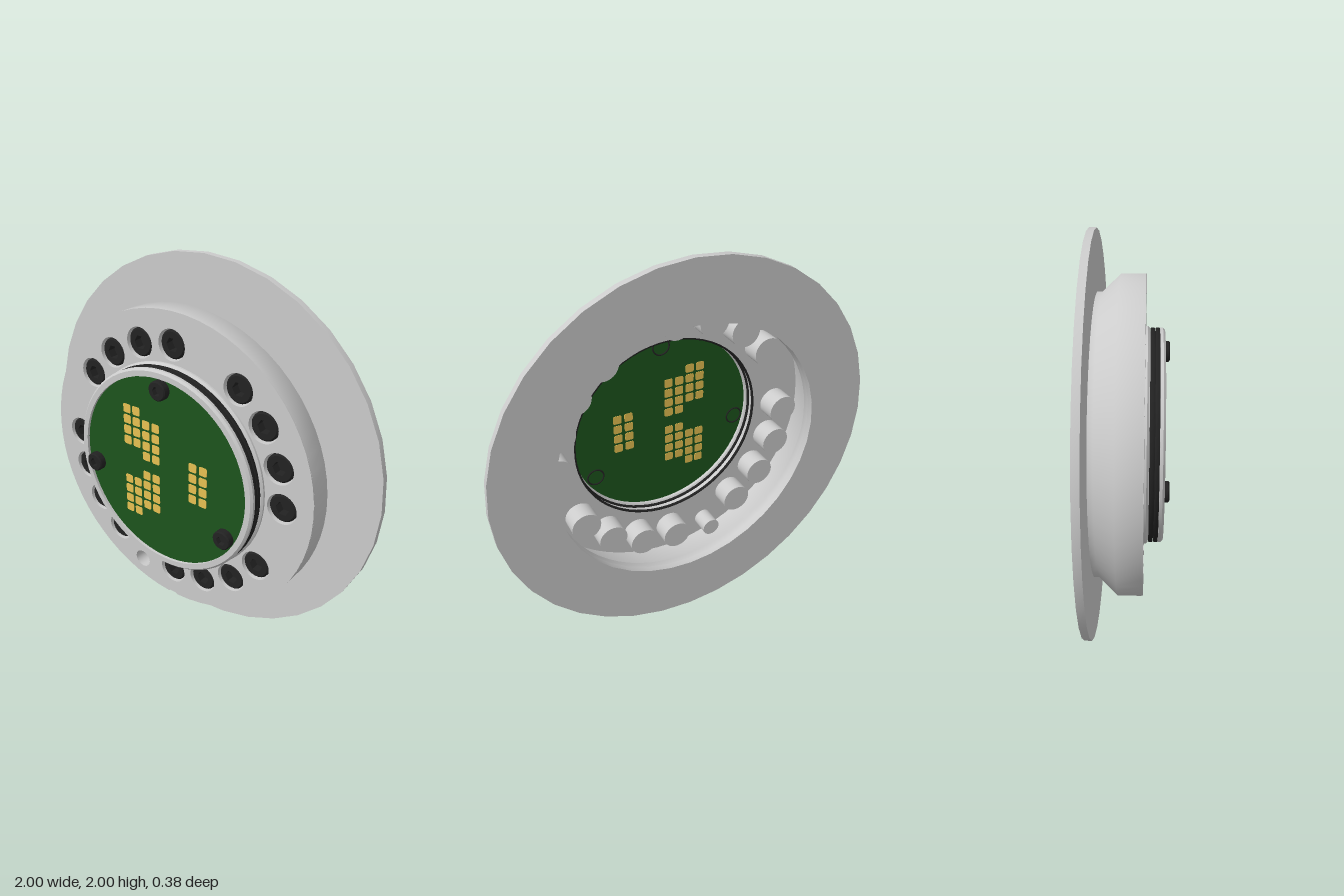
import * as THREE from 'three';
import { toCreasedNormals } from 'three/addons/utils/BufferGeometryUtils.js';

const material = (color) => new THREE.MeshStandardMaterial({ color, side: THREE.DoubleSide });
const grey = material(0xcccccc);
const black = material(0x222222);
const green = material(0x1c541c);
const gold = material(0xe8c152);

const DEG = Math.PI / 180;

// Solid of revolution about the z axis from [radius, z] pairs
function turned(points, segments, crease = 0.5) {
  const geo = new THREE.LatheGeometry(points.map(([r, z]) => new THREE.Vector2(r, z)), segments);
  geo.rotateX(Math.PI / 2);
  return toCreasedNormals(geo, crease);
}

function circlePath(x, y, r) {
  const path = new THREE.Path();
  path.absarc(x, y, r, 0, Math.PI * 2, true);
  return path;
}

// Plate with its back at z0 and its front at z1
function plate(shape, z0, z1, curveSegments = 24) {
  const geo = new THREE.ExtrudeGeometry(shape, { depth: z1 - z0, bevelEnabled: false, curveSegments });
  geo.translate(0, 0, z0);
  return toCreasedNormals(geo, 0.5);
}

function polar(radius, degrees) {
  return [radius * Math.cos(degrees * DEG), radius * Math.sin(degrees * DEG)];
}

// Socket head screw with a hexagonal recess, front face at z = 0
function socketScrew(name, r, depth) {
  const screw = new THREE.Group();
  screw.name = name;
  const hex = [];
  for (let i = 0; i < 6; i++) hex.push(new THREE.Vector2(...polar(r * 0.5, -60 * i)));
  const face = new THREE.Shape();
  face.absarc(0, 0, r * 0.88, 0, Math.PI * 2);
  face.holes.push(new THREE.Path(hex));
  const top = new THREE.Mesh(plate(face, -depth * 0.6, 0, 16), black);
  top.name = 'screwSocket';
  const body = new THREE.Mesh(
    turned([[0, -depth], [r, -depth], [r, -r * 0.12], [r * 0.88, 0], [r * 0.88, -depth * 0.6], [0, -depth * 0.6]], 28), black);
  body.name = 'screwHead';
  screw.add(top, body);
  return screw;
}

export function createModel() {
  const model = new THREE.Group();
  model.name = 'flangedSensorHousing';
  const body = new THREE.Group();
  body.name = 'body';
  body.position.y = 1;
  model.add(body);
  const add = (name, geo, mat, parent = body) => {
    const mesh = new THREE.Mesh(geo, mat);
    mesh.name = name;
    parent.add(mesh);
    return mesh;
  };

  // Wide mounting flange
  add('flange', turned([[0.695, -0.19], [1, -0.19], [1, -0.155], [0.695, -0.155], [0.695, -0.19]], 36), grey);

  // Hollow housing wall with its tapered rear
  add('housingWall', turned([
    [0.705, -0.157], [0.705, -0.13], [0.79, -0.04], [0.79, 0.073],
    [0.777, 0.073], [0.777, -0.035], [0.695, -0.122], [0.695, -0.157],
  ], 64, 0.9), grey);

  // Thin front face with the bolt holes, alignment hole and a small notch at the bottom
  const boltAngles = [];
  for (let i = 0; i < 20; i++) if (i % 5 !== 4) boltAngles.push(i * 18);
  const pinAt = polar(0.692, 252);
  const face = new THREE.Shape();
  face.absarc(0, 0, 0.79, -88 * DEG, 268 * DEG);
  face.lineTo(-0.012, -0.776);
  face.lineTo(0.012, -0.776);
  face.closePath();
  face.holes.push(circlePath(0, 0, 0.52), circlePath(...pinAt, 0.048));
  for (const a of boltAngles) face.holes.push(circlePath(...polar(0.63, a), 0.077));
  add('frontFace', plate(face, 0.073, 0.08, 32), grey);

  // Closed pockets behind the holes, with the bolts sunk into them
  const pocket = (r) => turned([[0, -0.028], [r, -0.028], [r, 0.076]], 28);
  const boltPocket = pocket(0.077);
  const bolt = socketScrew('bolt', 0.07, 0.07);
  for (const a of boltAngles) {
    const [x, y] = polar(0.63, a);
    add('boltPocket', boltPocket, grey).position.set(x, y, 0);
    const copy = bolt.clone();
    copy.position.set(x, y, 0.074);
    body.add(copy);
  }
  add('alignmentPocket', pocket(0.048), grey).position.set(...pinAt, 0);

  // Raised collar with a seal groove
  add('collar', turned([
    [0.508, 0.073], [0.54, 0.073], [0.54, 0.09], [0.53, 0.1], [0.512, 0.1], [0.512, 0.148],
    [0.532, 0.148], [0.532, 0.162], [0.522, 0.172], [0.494, 0.172], [0.494, 0.135], [0.508, 0.125], [0.508, 0.073],
  ], 64), grey);

  // Seals in the groove and along the bore behind the board
  for (const z of [0.102, 0.126]) {
    const seal = turned([[0.512, z], [0.53, z], [0.532, z + 0.004], [0.532, z + 0.017], [0.53, z + 0.021], [0.512, z + 0.021]], 64);
    add('sealRing', seal, black);
  }
  for (const z of [0.08, 0.122]) {
    add('rearSeal', new THREE.TorusGeometry(0.506, 0.008, 8, 64), black).position.z = z;
  }

  // Thin circuit board
  add('circuitBoard', turned([[0, 0.15], [0.494, 0.15], [0.494, 0.157], [0, 0.157]], 64), green);

  // Contact pads, showing on both sides of the board
  const s = 0.023, c = 0.009;
  const square = new THREE.Shape();
  square.absarc(s - c, s - c, c, 0, 90 * DEG);
  square.absarc(c - s, s - c, c, 90 * DEG, 180 * DEG);
  square.absarc(c - s, c - s, c, 180 * DEG, 270 * DEG);
  square.absarc(s - c, c - s, c, 270 * DEG, 360 * DEG);
  const padGeo = plate(square, 0.148, 0.159, 4);
  const pitch = 0.057;
  const columns = [ // x and y of the top pad in each column of four
    [-0.218, 0.283], [-0.16, 0.283], [-0.1, 0.226], [-0.04, 0.226],
    [-0.218, -0.11], [-0.16, -0.11], [-0.1, -0.053], [-0.04, -0.053],
    [0.185, 0.09], [0.246, 0.09],
  ];
  const pads = new THREE.Group();
  pads.name = 'contactPads';
  body.add(pads);
  for (const [x, y] of columns) {
    for (let i = 0; i < 4; i++) add('contactPad', padGeo, gold, pads).position.set(x, y - i * pitch, 0);
  }

  // Board screws with their rings at the back
  const boardScrew = socketScrew('boardScrew', 0.049, 0.04);
  const ring = new THREE.TorusGeometry(0.044, 0.004, 8, 28);
  for (const a of [90, 190, 330]) {
    const [x, y] = polar(0.44, a);
    const copy = boardScrew.clone();
    copy.position.set(x, y, 0.194);
    body.add(copy);
    add('boardScrewRing', ring, black).position.set(x, y, 0.149);
  }
  return model;
}
